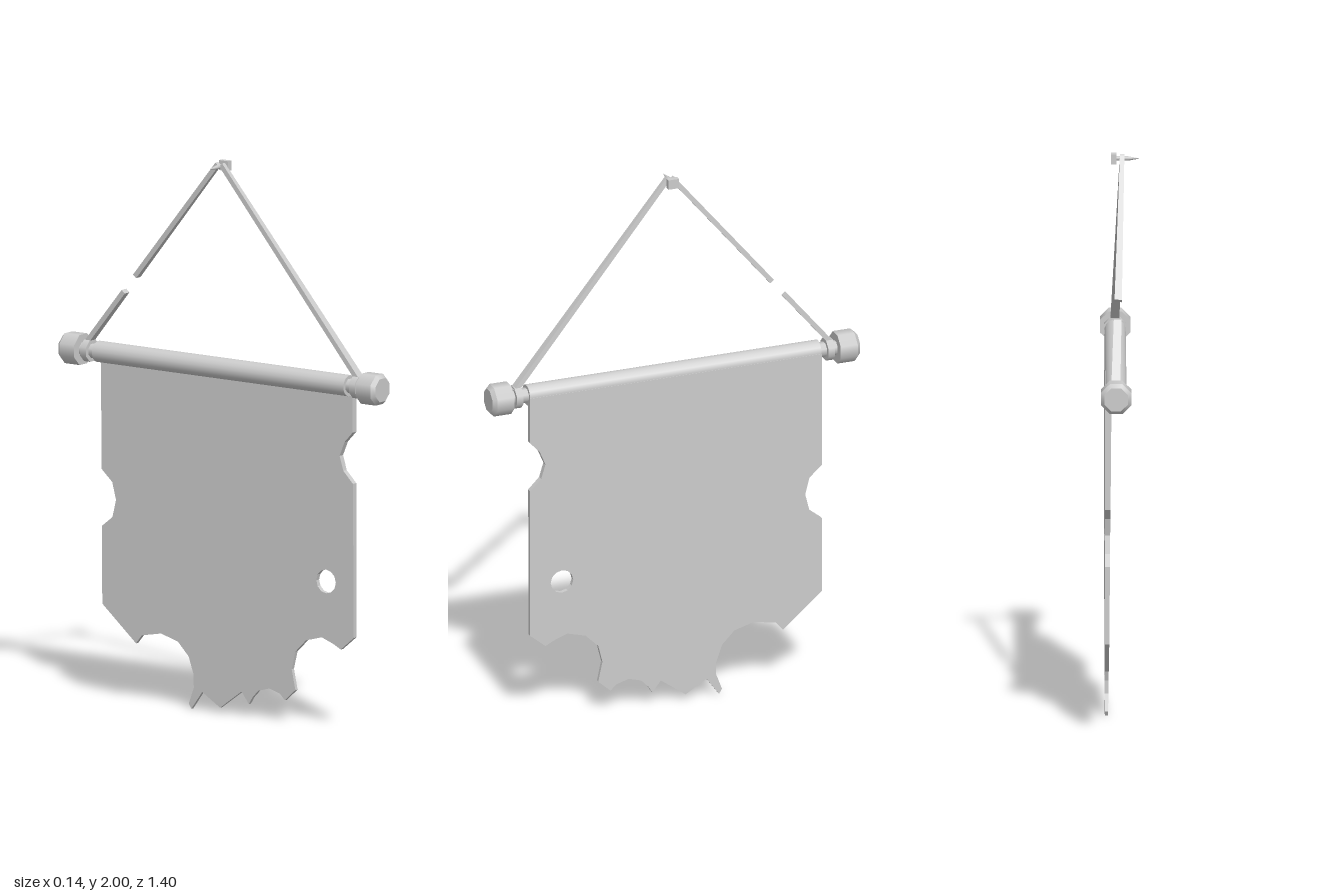
import * as THREE from 'three';

const ROD_X = 0.015, ROD_Y = 1.25;

export function createModel() {
  const model = new THREE.Group();
  model.name = 'wallBanner';
  const grey = new THREE.MeshStandardMaterial({ color: 0xcccccc });
  grey.name = 'plain grey';

  const add = (parent, name, geometry) => {
    const mesh = new THREE.Mesh(geometry, grey);
    mesh.name = name;
    parent.add(mesh);
    return mesh;
  };

  // Cylinder along z from z0 to z1, flat side up
  const turned = (r0, r1, z0, z1, sides) =>
    new THREE.CylinderGeometry(r1, r0, z1 - z0, sides, 1, false, Math.PI / sides)
      .rotateX(Math.PI / 2).translate(0, 0, (z0 + z1) / 2);

  // Torn cloth outline as [z, y]
  const outline = [
    [0.555, 1.25], [0.555, 1.078], [0.519, 1.04], [0.497, 0.988], [0.513, 0.935], [0.555, 0.893],
    [0.555, 0.336], [0.497, 0.288], [0.466, 0.304], [0.413, 0.323], [0.344, 0.304], [0.296, 0.257],
    [0.28, 0.193], [0.296, 0.119], [0.249, 0.077], [0.228, 0.098], [0.18, 0.112], [0.132, 0.098],
    [0.106, 0.071], [0.09, 0.045], [0.058, 0.087], [-0.037, 0.018], [-0.116, 0.066], [-0.164, 0],
    [-0.175, 0.018], [-0.153, 0.077], [-0.153, 0.124], [-0.175, 0.188], [-0.222, 0.236],
    [-0.296, 0.257], [-0.381, 0.241], [-0.407, 0.209], [-0.555, 0.336], [-0.555, 0.617],
    [-0.508, 0.654], [-0.492, 0.718], [-0.508, 0.78], [-0.555, 0.823], [-0.555, 1.25],
  ];
  const shape = new THREE.Shape(outline.map(([z, y]) => new THREE.Vector2(-z, y)));
  const hole = new THREE.Path();
  hole.absarc(-0.434, 0.527, 0.043, 0, Math.PI * 2, true);
  shape.holes.push(hole);
  const cloth = new THREE.ExtrudeGeometry(shape, { depth: 1, bevelEnabled: false, curveSegments: 6 })
    .rotateY(Math.PI / 2);
  // Cloth is thicker near the rod and thins toward the torn hem
  const p = cloth.attributes.position;
  for (let i = 0; i < p.count; i++) {
    p.setX(i, p.getX(i) > 0.5 ? 0.054 : 0.042 - 0.009 * p.getY(i));
  }
  cloth.computeVertexNormals();
  add(model, 'tornCloth', cloth);

  // Rod with the cloth sleeve wrapped round it
  const rod = new THREE.Group();
  rod.name = 'rod';
  rod.position.set(ROD_X, ROD_Y, 0);
  model.add(rod);
  add(rod, 'rodCore', turned(0.027, 0.027, -0.63, 0.63, 8));
  add(rod, 'clothSleeve', turned(0.038, 0.038, -0.555, 0.555, 16));

  // End knobs and rope loops
  for (const turn of [0, Math.PI]) {
    const end = new THREE.Group();
    end.name = turn ? 'backRodEnd' : 'frontRodEnd';
    end.rotation.y = turn;
    rod.add(end);
    add(end, 'ropeLoop', turned(0.042, 0.042, 0.58, 0.606, 8));
    add(end, 'knob', turned(0.0585, 0.0585, 0.621, 0.686, 8));
    add(end, 'knobCap', turned(0.0585, 0.045, 0.686, 0.7, 8));
  }

  // Rope strands, narrowing toward the nail; t runs from rod (0) to nail (1)
  const strand = (name, side, t0, t1) => {
    const low = new THREE.Vector3(0.016, 1.275, 0.602 * side);
    const high = new THREE.Vector3(-0.008, 1.99, 0.008 * side);
    const a = low.clone().lerp(high, t0), b = low.clone().lerp(high, t1);
    const length = a.distanceTo(b);
    const g = new THREE.BoxGeometry(1, length, 0.018);
    const v = g.attributes.position;
    for (let i = 0; i < v.count; i++) {
      const t = v.getY(i) > 0 ? t1 : t0;
      v.setX(i, v.getX(i) * (0.032 - 0.016 * t));
    }
    g.computeVertexNormals();
    const mesh = add(model, name, g);
    mesh.position.copy(a).add(b).multiplyScalar(0.5);
    mesh.quaternion.setFromUnitVectors(new THREE.Vector3(0, 1, 0), b.sub(a).normalize());
  };
  strand('wholeRope', 1, 0, 1);
  strand('snappedRopeLower', -1, 0, 0.289);
  strand('snappedRopeUpper', -1, 0.375, 1);

  // Nail: square head, shaft and point, driven toward -x
  const nail = new THREE.Group();
  nail.name = 'nail';
  nail.position.y = 1.982;
  model.add(nail);
  add(nail, 'nailHead', new THREE.BoxGeometry(0.02, 0.036, 0.04).translate(0.022, 0, 0));
  add(nail, 'nailShaft', new THREE.CylinderGeometry(0.008, 0.008, 0.042, 8)
    .rotateZ(Math.PI / 2).translate(-0.009, 0, 0));
  add(nail, 'nailPoint', new THREE.ConeGeometry(0.008, 0.042, 8)
    .rotateZ(Math.PI / 2).translate(-0.051, 0, 0));

  return model;
}
